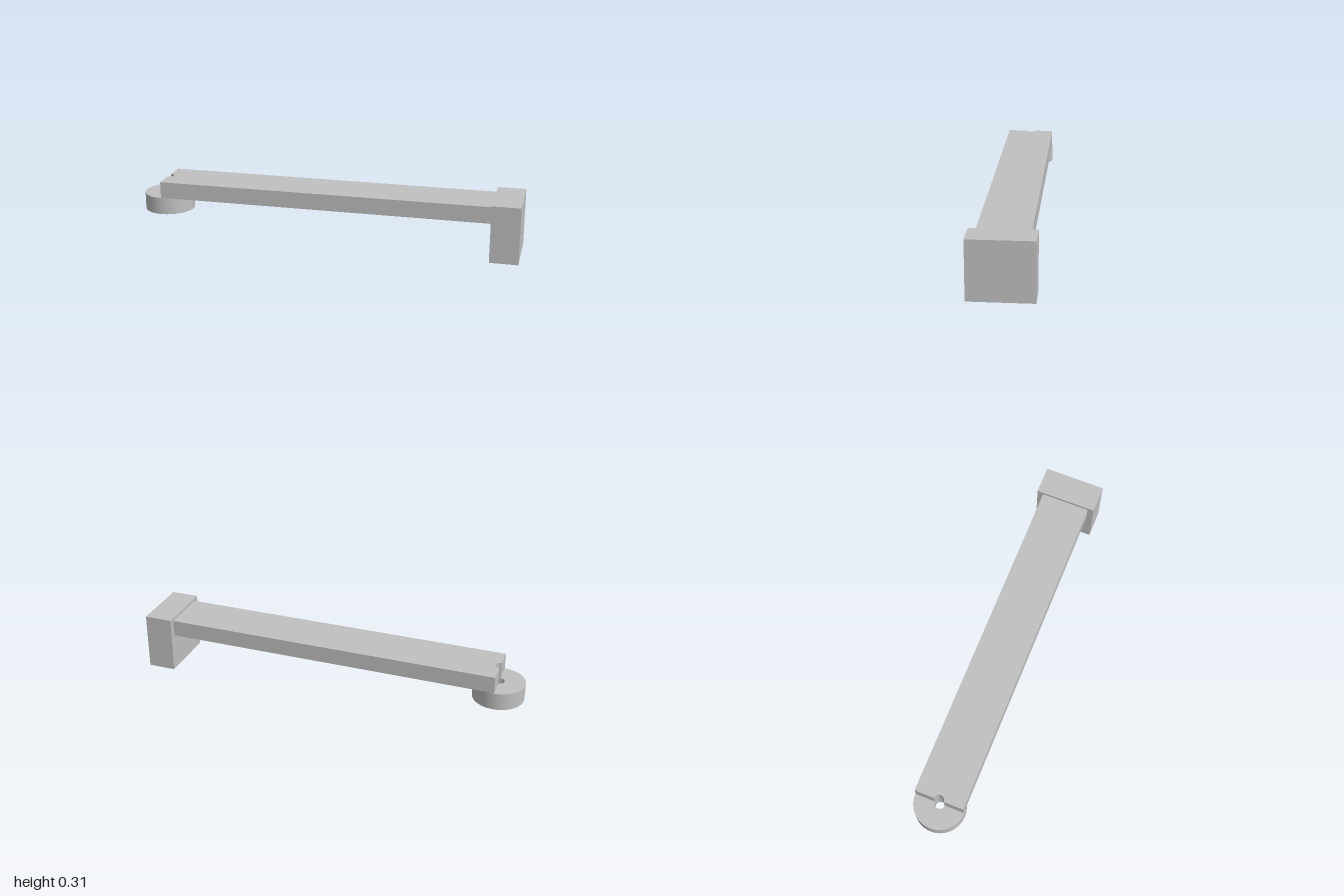
import * as THREE from 'three';
import { toCreasedNormals } from 'three/addons/utils/BufferGeometryUtils.js';

const grey = new THREE.MeshStandardMaterial({ color: 0xc0c0c0 });
grey.name = 'grey';

const HOLE = 0.027, BAR_END = 1.796, HALF_WIDTH = 0.132;

// Extrude a plan outline upwards, from height y
function slab(name, shape, y, height) {
  const geo = new THREE.ExtrudeGeometry(shape, { depth: height, bevelEnabled: false, curveSegments: 32 });
  geo.rotateX(-Math.PI / 2);
  const mesh = new THREE.Mesh(toCreasedNormals(geo, 0.5), grey);
  mesh.name = name;
  mesh.position.y = y;
  return mesh;
}

// Bar outline with a half-round notch in the pivot end
function barOutline() {
  const s = new THREE.Shape();
  s.moveTo(0, -HALF_WIDTH);
  s.lineTo(BAR_END, -HALF_WIDTH);
  s.lineTo(BAR_END, HALF_WIDTH);
  s.lineTo(0, HALF_WIDTH);
  s.lineTo(0, HOLE);
  s.absarc(0, 0, HOLE, Math.PI / 2, -Math.PI / 2, true);
  return s;
}

function circle(ShapeType, x, r) {
  const s = new ShapeType();
  s.absarc(x, 0, r, 0, Math.PI * 2, false);
  return s;
}

export function createModel() {
  const arm = new THREE.Group();
  arm.name = 'arm';

  // Pivot disc with a through hole
  const disc = circle(THREE.Shape, 0, 0.135);
  disc.holes.push(circle(THREE.Path, 0, HOLE));
  arm.add(slab('pivotDisc', disc, 0.107, 0.093));

  // Bar, with a small blind pin hole underneath
  const lower = barOutline();
  lower.holes.push(circle(THREE.Path, 0.365, 0.007));
  arm.add(slab('barUnderside', lower, 0.2, 0.045));
  arm.add(slab('barTop', barOutline(), 0.245, 0.044));

  // End block
  const block = new THREE.Mesh(new THREE.BoxGeometry(0.15, 0.305, 0.33), grey);
  block.name = 'endBlock';
  block.position.set(1.871, 0.1525, 0);
  arm.add(block);

  // The arm swings out from the pivot
  arm.position.set(-0.865, 0, 0.374);
  arm.rotation.y = THREE.MathUtils.degToRad(22.2);

  const model = new THREE.Group();
  model.name = 'pivotArm';
  model.add(arm);
  return model;
}
